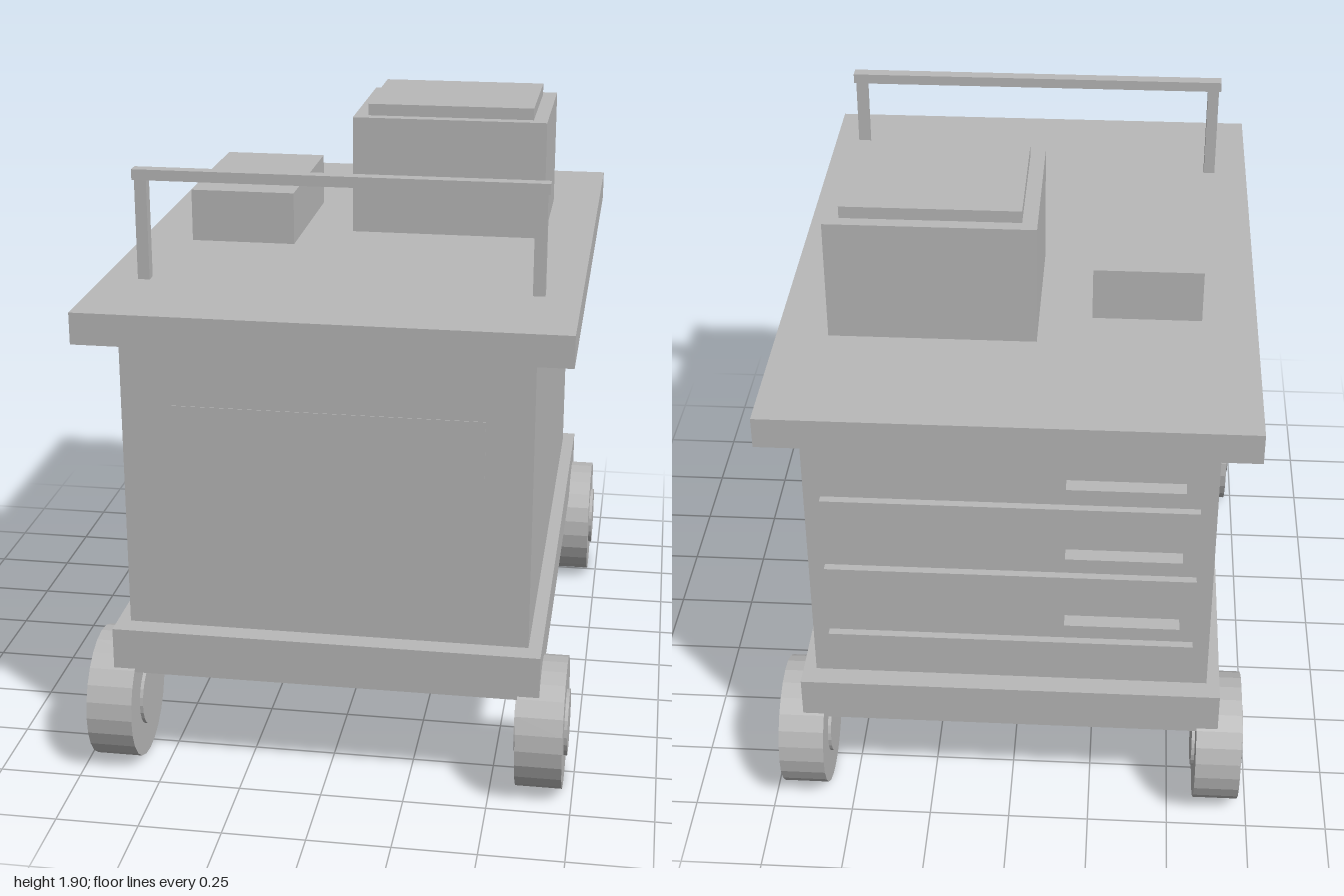
import * as THREE from 'three';

export function createModel() {
  const group = new THREE.Group();
  group.name = 'toolCart';
  const grey = new THREE.MeshStandardMaterial({ color: 0xb8b8b8, flatShading: true });
  grey.name = 'plain grey';

  // box given by its minimum and maximum on each axis
  const box = (name, [x0, x1], [y0, y1], [z0, z1], parent = group) => {
    const mesh = new THREE.Mesh(new THREE.BoxGeometry(x1 - x0, y1 - y0, z1 - z0), grey);
    mesh.position.set((x0 + x1) / 2, (y0 + y1) / 2, (z0 + z1) / 2);
    mesh.name = name;
    parent.add(mesh);
    return mesh;
  };

  // cabinet
  box('chassis', [-0.645, 0.645], [0.335, 0.475], [-0.935, 0.935]);
  box('body', [-0.605, 0.605], [0.475, 1.39], [-0.87, 0.87]);
  box('worktop', [-0.715, 0.715], [1.39, 1.485], [-0.98, 0.98]);
  box('frontPanel', [-0.465, 0.465], [0.98, 1.18], [0.867, 0.872]);

  // push handle
  const handle = new THREE.Group();
  handle.name = 'pushHandle';
  group.add(handle);
  box('handleBar', [-0.615, 0.615], [1.788, 1.82], [0.585, 0.625], handle);
  for (const s of [-1, 1]) {
    const x = s * 0.59;
    box('handlePost', [x - 0.018, x + 0.018], [1.485, 1.788], [0.587, 0.623], handle);
  }

  // equipment on the worktop
  box('tallUnit', [-0.06, 0.56], [1.485, 1.86], [-0.53, -0.02]);
  box('tallUnitLid', [-0.015, 0.515], [1.86, 1.897], [-0.49, -0.06]);
  box('smallUnit', [-0.55, -0.22], [1.485, 1.65], [-0.385, 0.165]);

  // drawer seams and pulls on the back
  for (let i = 0; i < 3; i++) {
    const y = 0.63 + i * 0.252;
    box('drawerSeam', [-0.555, 0.555], [y - 0.009, y + 0.009], [-0.895, -0.865]);
    box('drawerPull', [-0.51, -0.165], [y + 0.067, y + 0.105], [-0.928, -0.88]);
  }

  // wheels: tyre with a slightly wider hub
  const tyre = new THREE.CylinderGeometry(0.2, 0.2, 0.14, 24).rotateZ(Math.PI / 2);
  const hub = new THREE.CylinderGeometry(0.1, 0.1, 0.16, 24).rotateZ(Math.PI / 2);
  for (const sx of [-1, 1]) {
    for (const sz of [-1, 1]) {
      const wheel = new THREE.Group();
      wheel.name = 'wheel';
      wheel.position.set(sx * 0.65, 0.2, sz * 0.8);
      for (const [name, geometry] of [['tyre', tyre], ['hub', hub]]) {
        const mesh = new THREE.Mesh(geometry, grey);
        mesh.name = name;
        wheel.add(mesh);
      }
      group.add(wheel);
    }
  }
  return group;
}
